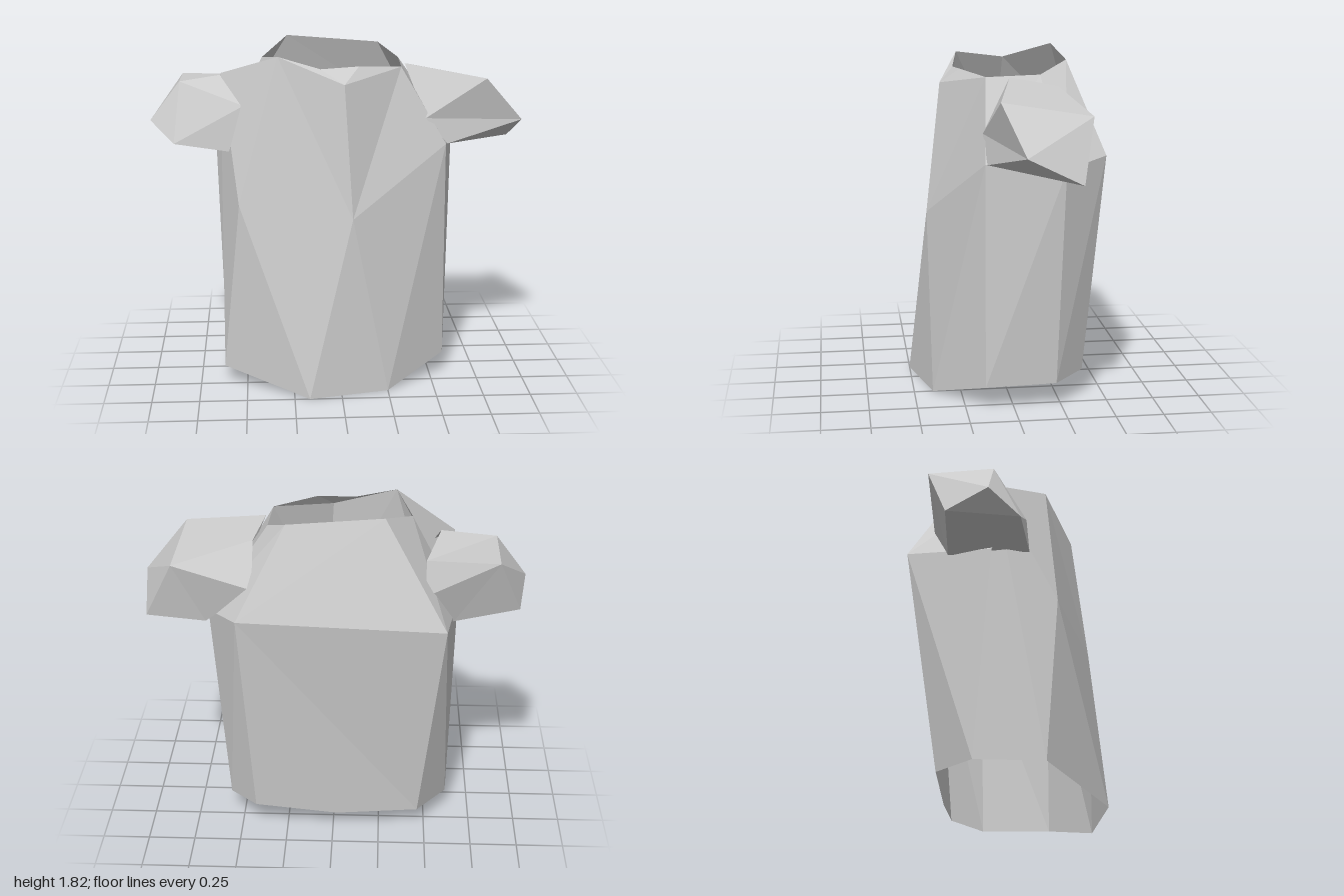
import * as THREE from 'three';

const material = new THREE.MeshStandardMaterial({
  color: 0xcccccc, flatShading: true, side: THREE.DoubleSide,
});

// Skins two cross-sections of equal count; columns in `flips` use the other diagonal.
// Repeated points merge columns, so zero-area triangles are dropped.
function loft(lower, upper, flips = [], closed = true) {
  const out = [];
  const same = (p, q) => p.every((v, k) => v === q[k]);
  const tri = (a, b, c) => {
    if (!same(a, b) && !same(b, c) && !same(a, c)) out.push(...a, ...b, ...c);
  };
  const n = lower.length;
  for (let i = 0; i < (closed ? n : n - 1); i++) {
    const j = (i + 1) % n;
    const [a, b, c, d] = [lower[i], lower[j], upper[j], upper[i]];
    if (flips.includes(i)) { tri(a, b, d); tri(b, c, d); }
    else { tri(a, b, c); tri(a, c, d); }
  }
  return out;
}

function addMesh(group, name, ...patches) {
  const geometry = new THREE.BufferGeometry();
  geometry.setAttribute('position', new THREE.Float32BufferAttribute(patches.flat(), 3));
  geometry.computeVertexNormals();
  const mesh = new THREE.Mesh(geometry, material);
  mesh.name = name;
  group.add(mesh);
}

// Sleeve: inner ring to outer ring, closed by a fan around the tip
function addSleeve(group, name, inner, outer, tip, flips) {
  addMesh(group, name, loft(inner, outer, flips), loft(outer, outer.map(() => tip)));
}

export function createModel() {
  const shirt = new THREE.Group();
  shirt.name = 'shirt';

  // Body rings, anticlockwise from the front right
  const hem = [
    [-0.17, 0, 0.5], [0.25, 0, 0.4], [0.57, 0.12, 0.15], [0.57, 0.13, -0.22],
    [0.42, 0.15, -0.38], [-0.02, 0.09, -0.36], [-0.46, 0.11, -0.34],
    [-0.62, 0.11, -0.14], [-0.62, 0.09, 0.22],
  ];
  const chest = [
    [-0.53, 1, 0.28], [0.06, 0.95, 0.41], [0.57, 1.29, 0.15], [0.65, 1.27, -0.25],
    [0.49, 1.31, -0.48], [0.49, 1.31, -0.48], [-0.58, 1.28, -0.5],
    [-0.65, 1.25, -0.05], [-0.62, 1.65, -0.04],
  ];
  const neck = [
    [-0.32, 1.77, 0.21], [0.02, 1.64, 0.33], [0.33, 1.7, 0.12], [0.34, 1.71, -0.16],
    [0.24, 1.775, -0.31], [0.24, 1.775, -0.31], [-0.26, 1.815, -0.31],
    [-0.4, 1.73, -0.06], [-0.32, 1.77, 0.21],
  ];
  addMesh(shirt, 'body', loft(hem, chest, [5, 6]), loft(chest, neck, [0]));

  // Neckline facets above the front point
  const neckline = [neck[0], [-0.1, 1.71, 0.25], [0.1, 1.72, 0.23], neck[2]];
  addMesh(shirt, 'collar', loft(neckline.map(() => neck[1]), neckline, [], false));

  const leftTip = [1, 1.39, 0];
  const leftBack = [0.82, 1.56, -0.35];
  addSleeve(shirt, 'leftSleeve',
    [[0.36, 1.7, 0], [0.46, 1.43, 0.15], [0.58, 1.29, 0.14],
      [0.66, 1.23, -0.3], [0.41, 1.45, -0.39], [0.41, 1.66, -0.24]],
    [[0.79, 1.63, 0.1], leftTip, leftTip, [0.97, 1.25, -0.28], leftBack, leftBack],
    leftTip, [0]);

  const rightTop = [-0.84, 1.61, -0.02];
  const rightBack = [-0.84, 1.6, -0.36];
  addSleeve(shirt, 'rightSleeve',
    [[-0.55, 1.65, -0.05], [-0.5, 1.5, 0.12], [-0.58, 1.26, 0.14],
      [-0.62, 1.24, -0.28], [-0.47, 1.42, -0.37], [-0.47, 1.6, -0.33]],
    [rightTop, rightTop, [-0.87, 1.3, 0.12], [-0.96, 1.3, -0.25], rightBack, rightBack],
    [-1, 1.4, -0.03], []);

  return shirt;
}
